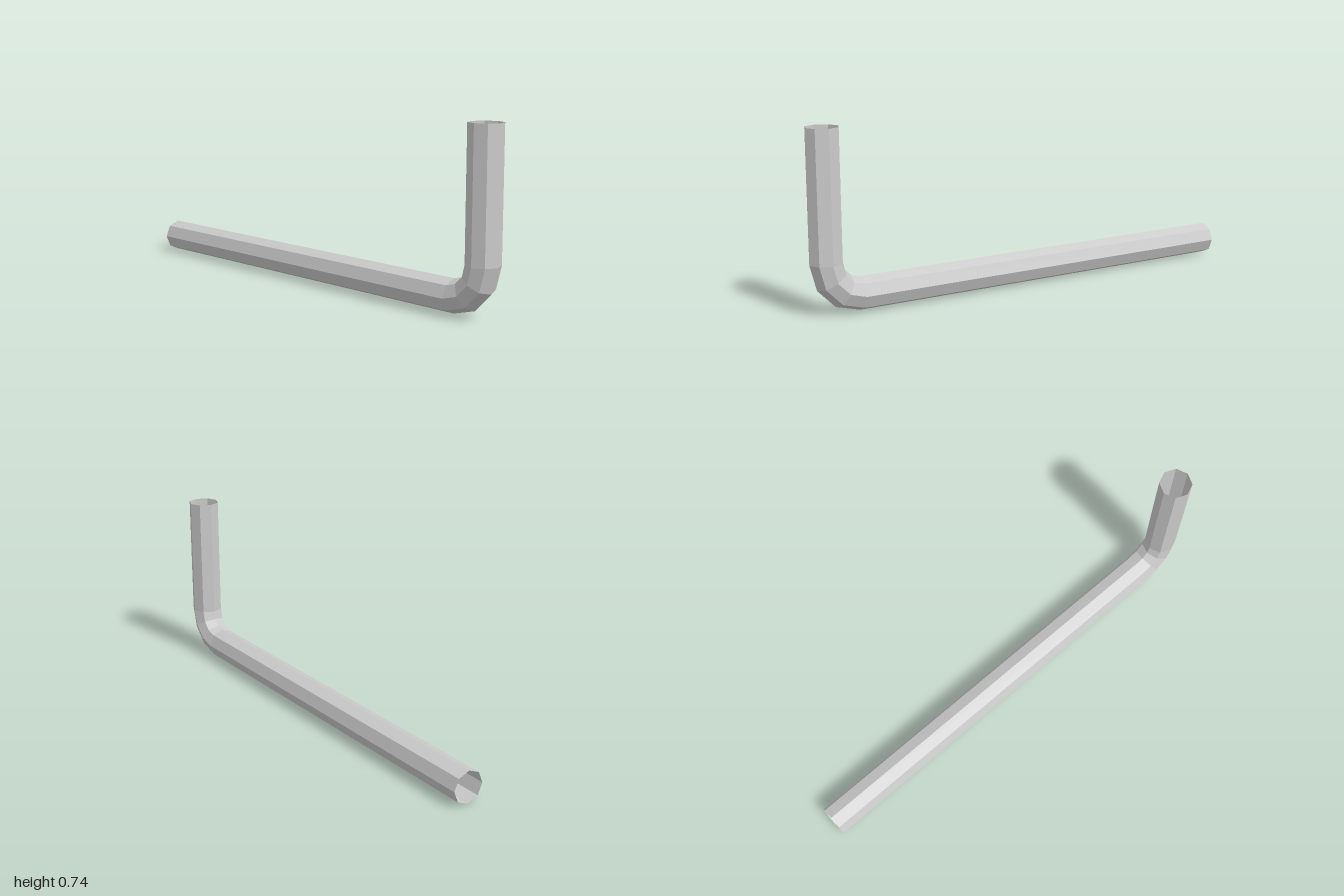
import * as THREE from 'three';

const SIDES = 8;
const RADIUS = 0.069;
const BEND = { z: 0.79, y: 0.212, radius: 0.14, steps: 3 };

// Centre points and cross-section tilts along the rod, top to far end
function rodRings() {
  const rings = [{ y: 0.745, z: 0.93, tilt: 0 }];
  for (let i = 0; i <= BEND.steps; i++) {
    const tilt = (i / BEND.steps) * Math.PI / 2;
    rings.push({
      y: BEND.y - BEND.radius * Math.sin(tilt),
      z: BEND.z + BEND.radius * Math.cos(tilt),
      tilt,
    });
  }
  rings.push({ y: 0.07, z: -1, tilt: Math.PI / 2 });
  return rings;
}

// Octagonal sweep with open ends
function sweep(rings) {
  const positions = [], indices = [];
  for (const { y, z, tilt } of rings) {
    for (let j = 0; j < SIDES; j++) {
      const a = (j / SIDES) * Math.PI * 2;
      const out = RADIUS * Math.cos(a); // towards the outside of the bend
      positions.push(RADIUS * Math.sin(a), y - out * Math.sin(tilt), z + out * Math.cos(tilt));
    }
  }
  for (let i = 0; i < rings.length - 1; i++) {
    for (let j = 0; j < SIDES; j++) {
      const k = (j + 1) % SIDES;
      const a = i * SIDES + j, b = i * SIDES + k;
      indices.push(a, a + SIDES, b, b, a + SIDES, b + SIDES);
    }
  }
  const geometry = new THREE.BufferGeometry();
  geometry.setAttribute('position', new THREE.Float32BufferAttribute(positions, 3));
  geometry.setIndex(indices);
  geometry.computeVertexNormals();
  return geometry;
}

export function createModel() {
  const group = new THREE.Group();
  group.name = 'bentRod';
  const material = new THREE.MeshStandardMaterial({
    color: 0xcccccc, flatShading: true, side: THREE.DoubleSide,
  });
  const rod = new THREE.Mesh(sweep(rodRings()), material);
  rod.name = 'rod';
  group.add(rod);
  return group;
}
